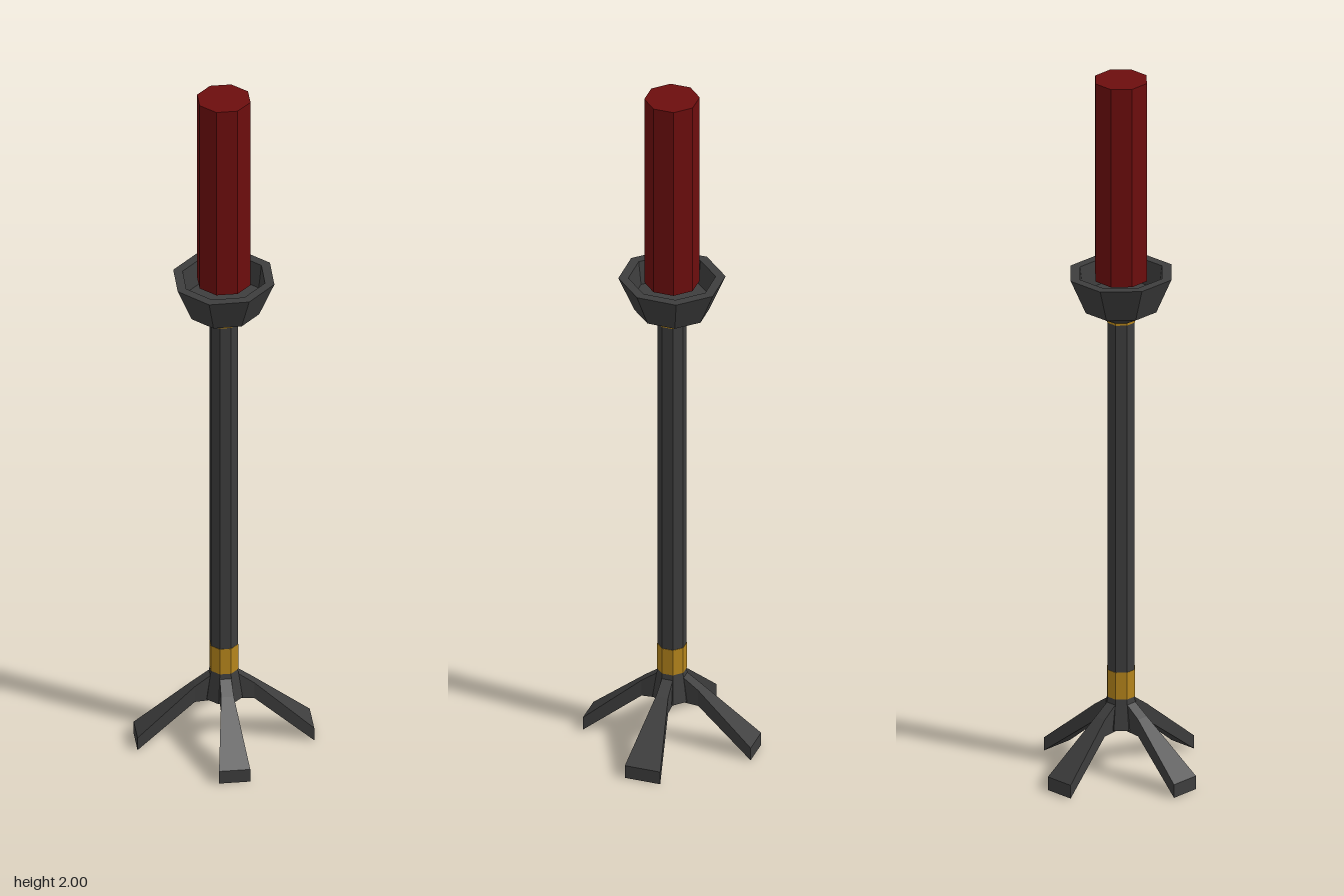
import * as THREE from 'three';

const flat = (name, color, side = THREE.FrontSide) => {
  const m = new THREE.MeshStandardMaterial({ color, flatShading: true, side });
  m.name = name;
  return m;
};

// Leg running out along +x: four-cornered cross-sections joined into a closed skin
function legGeometry(endWidth) {
  const sections = [ // distance out, top, bottom, width
    [0.03, 0.212, 0.13, 0.03],
    [0.08, 0.176, 0.128, 0.034],
    [0.237, 0.042, 0.004, endWidth],
  ];
  const pos = [], index = [];
  for (const [r, top, bottom, w] of sections) {
    pos.push(r, top, w / 2, r, top, -w / 2, r, bottom, -w / 2, r, bottom, w / 2);
  }
  const quad = (a, b, c, d) => index.push(a, b, c, a, c, d);
  for (let s = 0; s < sections.length - 1; s++) {
    for (let i = 0; i < 4; i++) {
      const a = s * 4 + i, b = s * 4 + (i + 1) % 4;
      quad(a, a + 4, b + 4, b);
    }
  }
  const e = (sections.length - 1) * 4;
  quad(0, 1, 2, 3);
  quad(e + 3, e + 2, e + 1, e);
  const g = new THREE.BufferGeometry();
  g.setAttribute('position', new THREE.Float32BufferAttribute(pos, 3));
  g.setIndex(index);
  const out = g.toNonIndexed();
  out.computeVertexNormals();
  return out;
}

export function createModel() {
  const iron = flat('dark iron', 0x3d3d3d);
  const gold = flat('gold', 0xb5851c);
  const wax = flat('red wax', 0x6c0d0d);
  const wickBrown = flat('wick brown', 0x4c3820, THREE.DoubleSide);
  const model = new THREE.Group();
  model.name = 'candlestick';

  const add = (name, geometry, material) => {
    const mesh = new THREE.Mesh(geometry, material);
    mesh.name = name;
    model.add(mesh);
    return mesh;
  };
  // Eight-sided column between two heights, slightly deeper than wide
  const column = (name, rTop, rBottom, y0, y1, material) => {
    const g = new THREE.CylinderGeometry(rTop, rBottom, y1 - y0, 8);
    g.translate(0, (y0 + y1) / 2, 0).scale(1, 1.04, 1);
    return add(name, g, material);
  };

  // Stem and its bands
  column('hub', 0.039, 0.052, 0.13, 0.213, iron);
  column('lowerBand', 0.04, 0.04, 0.213, 0.288, gold);
  column('stem', 0.039, 0.039, 0.288, 1.255, iron);
  column('upperBand', 0.04, 0.04, 1.255, 1.312, gold);

  // Four splayed legs growing from alternate faces of the hub
  for (let i = 0; i < 4; i++) {
    const leg = add('leg' + (i + 1), legGeometry(i === 3 ? 0.1 : 0.084), iron);
    leg.rotation.y = -THREE.MathUtils.degToRad(67.5 + i * 90);
  }

  // Drip bowl, hollow at the top
  const profile = [[0, 1.312], [0.04, 1.312], [0.098, 1.343], [0.14, 1.443],
    [0.114, 1.443], [0.106, 1.375], [0, 1.375]].map(([x, y]) => new THREE.Vector2(x, y));
  add('dripBowl', new THREE.LatheGeometry(profile, 8).scale(1, 1, 1.045), iron);

  // Candle with a wick of two crossed strips
  column('candle', 0.074, 0.074, 1.375, 1.926, wax);
  for (let i = 0; i < 2; i++) {
    const strip = add('wick' + (i + 1), new THREE.PlaneGeometry(0.024, 0.076), wickBrown);
    strip.position.y = 1.962;
    strip.rotation.y = i * Math.PI / 2;
  }
  return model;
}
